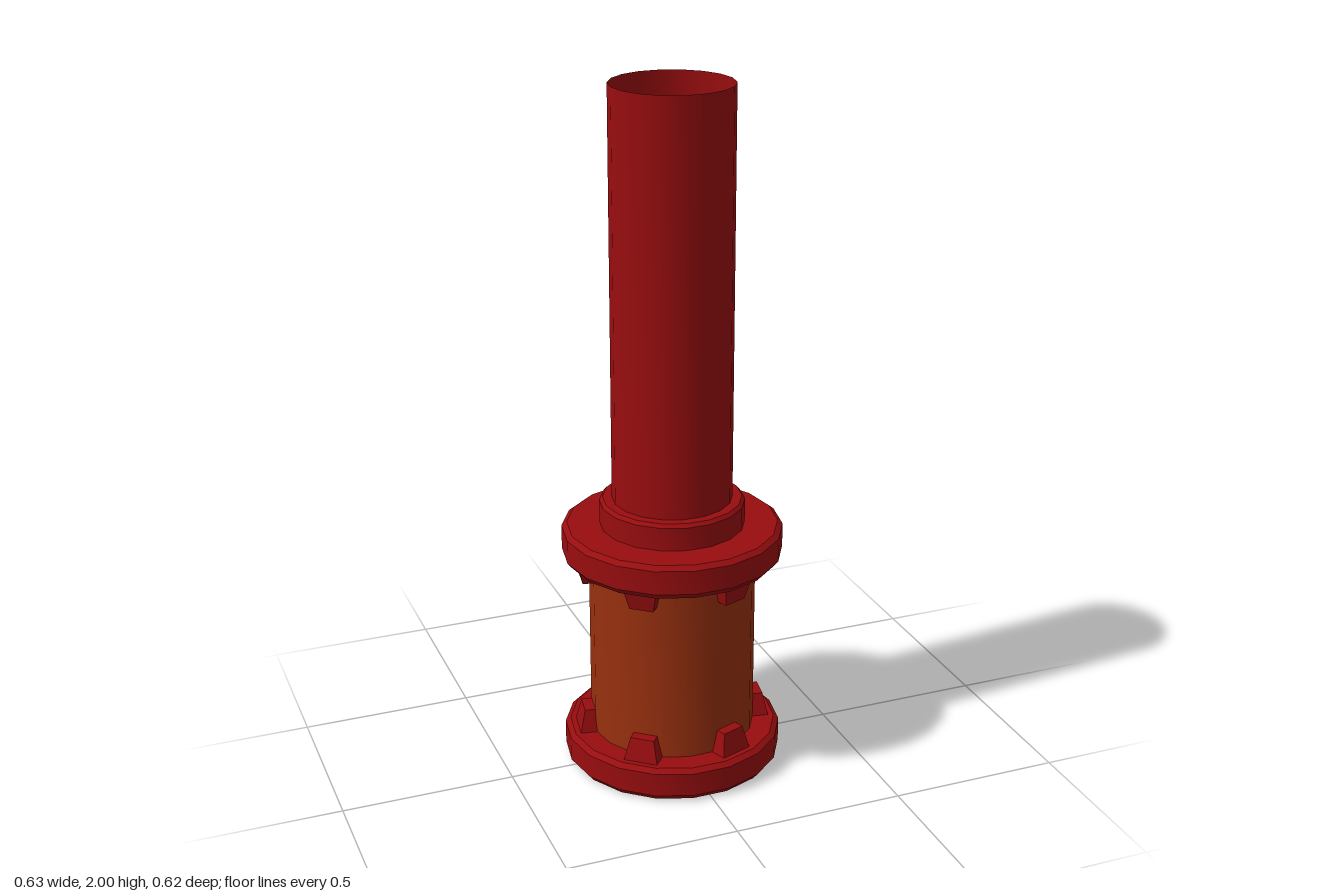
import * as THREE from 'three';
import { toCreasedNormals } from 'three/addons/utils/BufferGeometryUtils.js';

const SIDES = 18;
const red = new THREE.MeshStandardMaterial({ color: 0x980d0f, side: THREE.DoubleSide });
const orange = new THREE.MeshStandardMaterial({ color: 0x98300f, side: THREE.DoubleSide });

// Turned part with a corner on the x axis; profile runs bottom to top as [radius, y]
function turned(name, profile, material) {
  const points = profile.map(([r, y]) => new THREE.Vector2(r, y));
  const geometry = new THREE.LatheGeometry(points, SIDES, Math.PI / 2);
  const mesh = new THREE.Mesh(toCreasedNormals(geometry, 0.5), material);
  mesh.name = name;
  return mesh;
}

// Flange cup, hollow on its underside, with bevelled rims
function flange(name, y) {
  const mesh = turned(name, [
    [0, 0.088], [0.28, 0.088], [0.285, 0], [0.302, 0],
    [0.317, 0.018], [0.317, 0.088], [0.302, 0.1], [0, 0.1],
  ], red);
  mesh.position.y = y;
  return mesh;
}

// Ring of six tapered lugs gripping the barrel; dir is +1 upward, -1 downward
function lugRing(name, y, dir) {
  const ring = new THREE.Group();
  ring.name = name;
  const height = 0.09;
  const geometry = new THREE.BoxGeometry(0.11, height, 0.07);
  const p = geometry.attributes.position;
  for (let i = 0; i < p.count; i++) {
    if (p.getY(i) * dir > 0) {
      p.setX(i, p.getX(i) * 0.64);
      if (p.getZ(i) > 0) p.setZ(i, p.getZ(i) - 0.02);
    }
  }
  geometry.translate(0, (dir * height) / 2, 0.252);
  const flat = toCreasedNormals(geometry, 0.1);
  for (let i = 0; i < 6; i++) {
    const lug = new THREE.Mesh(flat, red);
    lug.name = 'lug';
    lug.rotation.y = THREE.MathUtils.degToRad(20 + i * 60);
    ring.add(lug);
  }
  ring.position.y = y;
  return ring;
}

export function createModel() {
  const model = new THREE.Group();
  model.name = 'flangedPipe';

  // Base flange, barrel and upper flange
  model.add(flange('lowerFlange', 0.003));
  model.add(turned('barrel', [[0.24, 0.095], [0.24, 0.73]], orange));
  model.add(flange('upperFlange', 0.64));

  // Lugs facing each other along the barrel
  model.add(lugRing('lowerLugs', 0.08, 1));
  model.add(lugRing('upperLugs', 0.67, -1));

  // Collar and open-topped pipe
  model.add(turned('collar', [[0.208, 0.735], [0.208, 0.808], [0.199, 0.818], [0, 0.818]], red));
  model.add(turned('pipe', [[0.172, 0.81], [0.172, 2]], red));

  return model;
}
